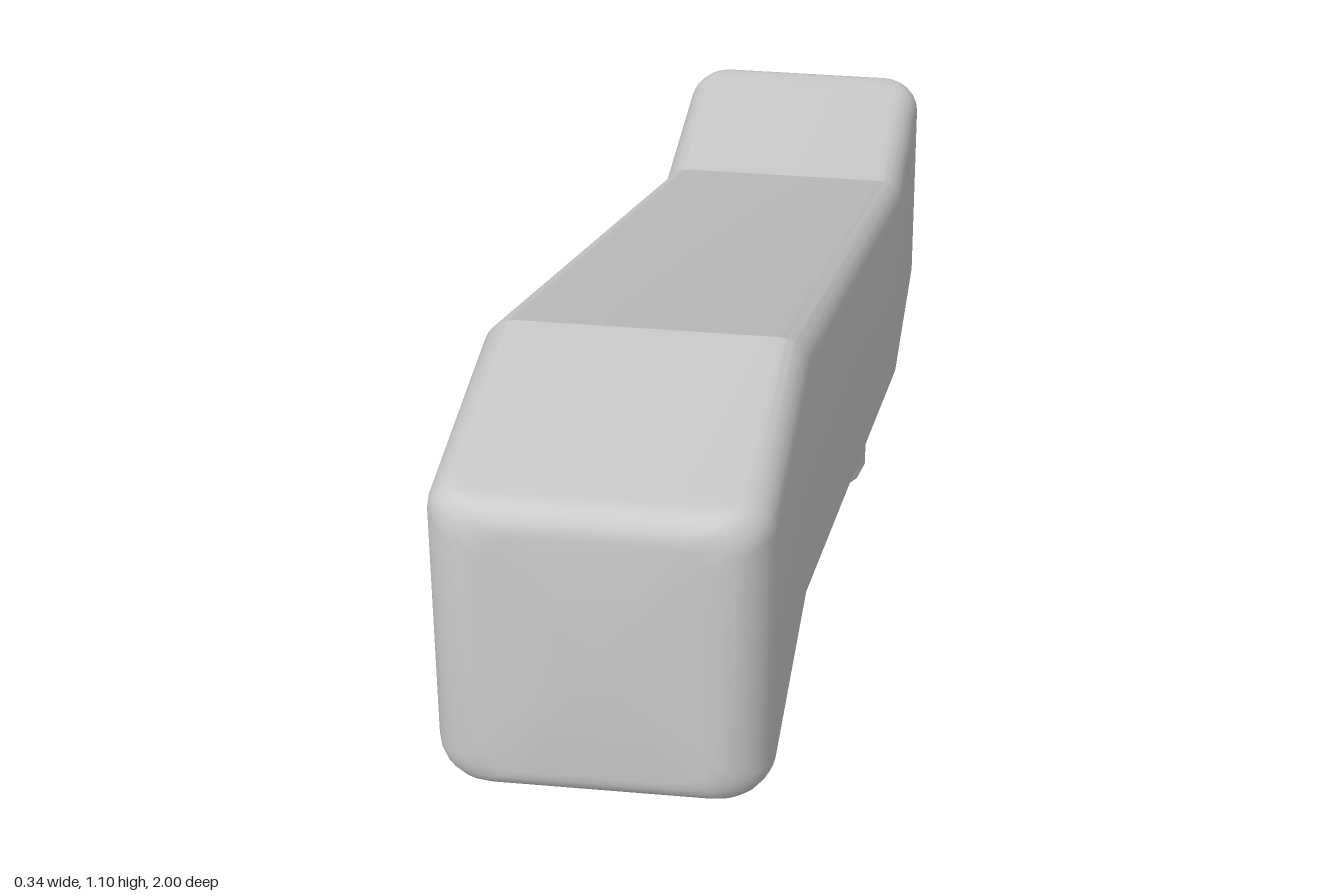
import * as THREE from 'three';
import { toCreasedNormals } from 'three/addons/utils/BufferGeometryUtils.js';

const HALF = 0.17;   // half width and half height of the arm
const SEG = 6;       // steps per rounded corner

// Height of the arm's centre line: level ends joined by a straight slope
const centreY = (z) => 0.675 + 0.255 * THREE.MathUtils.clamp(z / 0.65, -1, 1);

// Rounded-rectangle cross-section at z, narrowing into the rounded ends
function section(z) {
  const inset = (size) => {
    const d = Math.max(0, (Math.abs(z) - (1 - size)) / size);
    return size * (1 - Math.sqrt(Math.max(0, 1 - d * d)));
  };
  const w = HALF - inset(0.06), h = HALF - inset(0.03);
  const r = 0.035, ring = [];
  for (let q = 0; q < 4; q++) {
    const sx = q === 0 || q === 3 ? 1 : -1, sy = q < 2 ? 1 : -1;
    for (let k = 0; k <= SEG; k++) {
      const a = (q + k / SEG) * Math.PI / 2;
      ring.push([sx * (w - r) + r * Math.cos(a), centreY(z) + sy * (h - r) + r * Math.sin(a), z]);
    }
  }
  return ring;
}

function armGeometry() {
  // Stations from the front end to the back end
  const end = [];
  for (let i = 0; i <= 8; i++) end.push(0.94 + 0.06 * Math.cos(i / 8 * Math.PI / 2));
  const stations = [...end, 0.65, -0.65, ...end.map((z) => -z).reverse()];
  const rings = stations.map(section), n = rings[0].length;
  const pos = rings.flat(2), index = [];
  for (let i = 0; i < rings.length - 1; i++) {
    for (let j = 0; j < n; j++) {
      const a = i * n + j, b = i * n + (j + 1) % n;
      index.push(a, a + n, b, b, a + n, b + n);
    }
  }
  // Flat end caps
  const front = pos.length / 3, back = front + 1, last = (rings.length - 1) * n;
  pos.push(0, centreY(1), 1, 0, centreY(-1), -1);
  for (let j = 0; j < n; j++) {
    const k = (j + 1) % n;
    index.push(front, j, k, back, last + k, last + j);
  }
  const g = new THREE.BufferGeometry();
  g.setAttribute('position', new THREE.Float32BufferAttribute(pos, 3));
  g.setIndex(index);
  return toCreasedNormals(g, 0.35);
}

export function createModel() {
  const model = new THREE.Group();
  model.name = 'crankHandle';

  const arm = new THREE.Mesh(armGeometry(), new THREE.MeshStandardMaterial({ color: 0xcccccc }));
  arm.name = 'arm';
  model.add(arm);

  // Hollow peg under the low end
  const peg = new THREE.Mesh(
    new THREE.CylinderGeometry(0.115, 0.115, 0.27, 16, 1, true),
    new THREE.MeshStandardMaterial({ color: 0xcccccc, side: THREE.DoubleSide })
  );
  peg.name = 'peg';
  peg.position.set(0, 0.135, -0.82);
  model.add(peg);

  return model;
}
